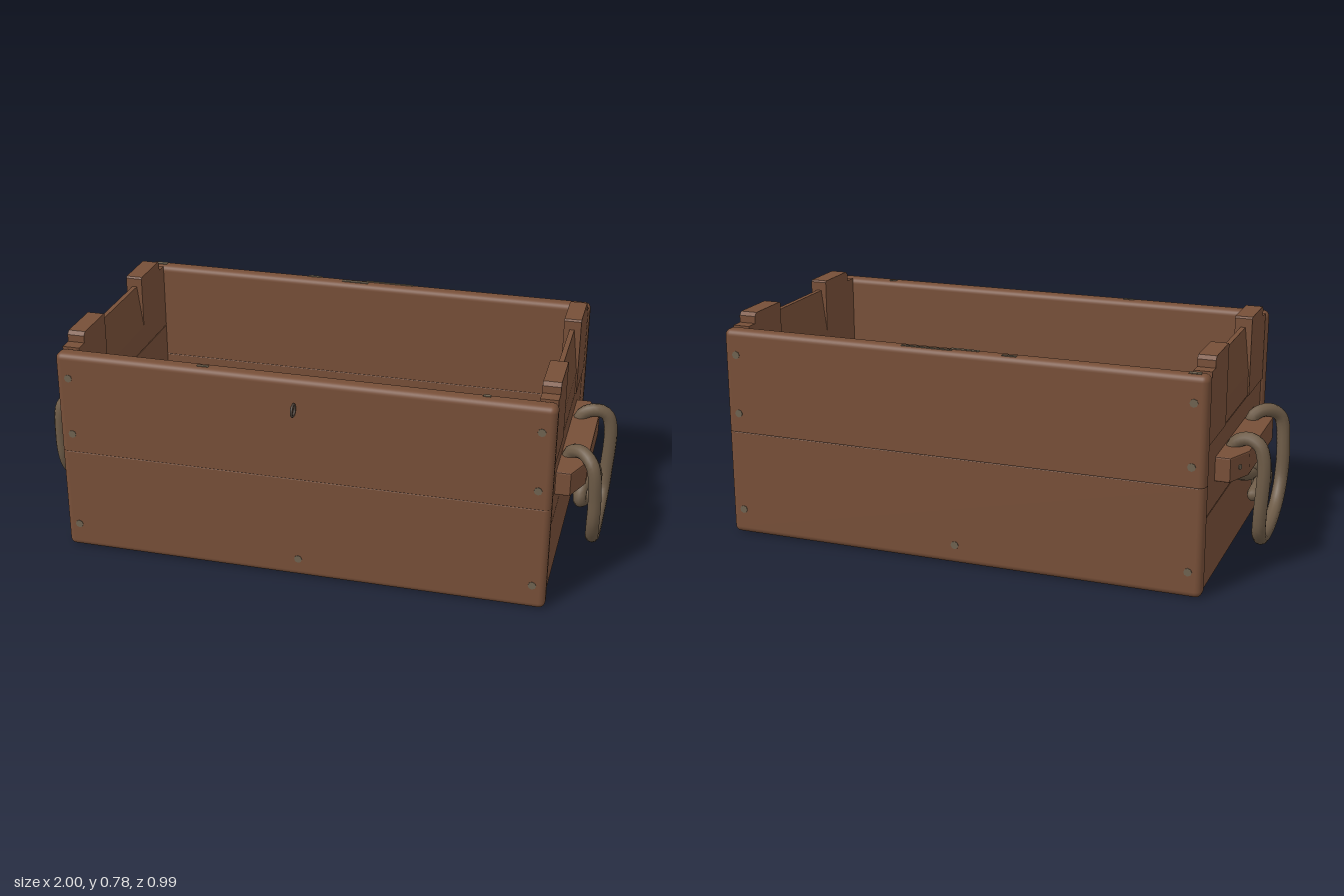
import * as THREE from 'three';
import { RoundedBoxGeometry } from 'three/addons/geometries/RoundedBoxGeometry.js';

const wood = new THREE.MeshStandardMaterial({ name: 'brown wood', color: 0x774f38 });
const rope = new THREE.MeshStandardMaterial({ name: 'rope', color: 0x6d5b47 });
const worn = new THREE.MeshStandardMaterial({ name: 'worn grey', color: 0x6e6250 });
const iron = new THREE.MeshStandardMaterial({ name: 'iron', color: 0x4a4038 });

function add(parent, name, geometry, material) {
  const m = new THREE.Mesh(geometry, material);
  m.name = name;
  parent.add(m);
  return m;
}

// Box given by its limits
function box(x0, x1, y0, y1, z0, z1) {
  return new THREE.BoxGeometry(x1 - x0, y1 - y0, z1 - z0)
    .translate((x0 + x1) / 2, (y0 + y1) / 2, (z0 + z1) / 2);
}

// Long plank, rounded except where its seam end is cut flat
function plank(y0, y1, z0, z1, seamOnTop) {
  const r = 0.022;
  const lo = seamOnTop ? y0 : y0 - r, hi = seamOnTop ? y1 + r : y1;
  const g = new RoundedBoxGeometry(1.7, hi - lo, z1 - z0, 4, r);
  g.translate(0, (lo + hi) / 2, (z0 + z1) / 2);
  const p = g.attributes.position;
  for (let i = 0; i < p.count; i++) p.setY(i, THREE.MathUtils.clamp(p.getY(i), y0, y1));
  return g;
}

// Polygon in (z, y) given a thickness along x
function sideSlab(points, x0, x1) {
  const shape = new THREE.Shape(points.map(([z, y]) => new THREE.Vector2(z, y)));
  return new THREE.ExtrudeGeometry(shape, { depth: x1 - x0, bevelEnabled: false })
    .rotateY(-Math.PI / 2).translate(x1, 0, 0);
}

// Mirror across x, keeping faces outward
function mirrored(geometry) {
  const g = geometry.index ? geometry.toNonIndexed() : geometry.clone();
  g.scale(-1, 1, 1);
  for (const a of Object.values(g.attributes)) {
    const n = a.itemSize;
    for (let i = 0; i < a.count; i += 3) {
      for (let k = 0; k < n; k++) {
        const p = (i + 1) * n + k, q = (i + 2) * n + k, t = a.array[p];
        a.array[p] = a.array[q];
        a.array[q] = t;
      }
    }
  }
  return g;
}

function buildEndParts() {
  const parts = [];
  // Lower and middle boards
  parts.push(['lowerEndBoard', box(0.785, 0.84, 0.006, 0.251, -0.43, 0.389), wood]);
  parts.push(['middleEndBoard', box(0.785, 0.84, 0.254, 0.498, -0.43, 0.389), wood]);
  // Upper board with a raised lug at each end
  const c = 0.012;
  parts.push(['upperEndBoardFront', sideSlab([[0.157, 0.501], [0.389, 0.501], [0.389, 0.743],
    [0.343, 0.743], [0.343, 0.78 - c], [0.343 - c, 0.78], [0.157 + c / 2, 0.78], [0.157, 0.78 - c / 2]], 0.785, 0.845), wood]);
  parts.push(['upperEndBoardBack', sideSlab([[-0.43, 0.501], [-0.2, 0.501], [-0.2, 0.78 - c / 2],
    [-0.2 - c / 2, 0.78], [-0.385 + c, 0.78], [-0.385, 0.78 - c], [-0.385, 0.743], [-0.43, 0.743]], 0.785, 0.845), wood]);
  // Tapered grip between the lugs
  const taper = new THREE.Shape([[0.785, 0.501], [0.84, 0.501], [0.84, 0.585], [0.822, 0.743], [0.805, 0.743], [0.785, 0.585]]
    .map(([x, y]) => new THREE.Vector2(x, y)));
  parts.push(['upperEndBoardGrip', new THREE.ExtrudeGeometry(taper, { depth: 0.357, bevelEnabled: false }).translate(0, 0, -0.2), wood]);

  // Handle cleat with slanted ends
  const cleat = new THREE.Shape([[0.838, -0.313], [0.89, -0.313], [0.932, -0.215], [0.932, 0.172], [0.89, 0.272], [0.838, 0.272]]
    .map(([x, z]) => new THREE.Vector2(x, -z)));
  parts.push(['handleCleat', new THREE.ExtrudeGeometry(cleat, {
    depth: 0.073, bevelThickness: 0.006, bevelSize: 0.004, bevelOffset: -0.004, bevelSegments: 2,
  }).rotateX(-Math.PI / 2).translate(0, 0.348, 0), wood]);

  // Rope: free end, knot, over the cleat, hanging loop, back to the knot
  const path = new THREE.CatmullRomCurve3([
    [0.93, 0.237, -0.105], [0.937, 0.262, -0.05], [0.925, 0.284, 0.01], [0.91, 0.27, 0.06],
    [0.908, 0.232, 0.078], [0.915, 0.212, 0.045], [0.94, 0.235, 0.005], [0.95, 0.28, -0.015],
    [0.935, 0.32, -0.022], [0.9, 0.315, -0.04], [0.882, 0.295, 0], [0.888, 0.302, 0.07],
    [0.872, 0.33, 0.135], [0.862, 0.39, 0.135], [0.872, 0.44, 0.135], [0.915, 0.455, 0.165],
    [0.953, 0.425, 0.197], [0.968, 0.3, 0.198], [0.967, 0.2, 0.185], [0.964, 0.132, 0.14],
    [0.962, 0.09, 0.06], [0.962, 0.076, -0.04], [0.963, 0.09, -0.12], [0.967, 0.135, -0.178],
    [0.971, 0.2, -0.195], [0.976, 0.39, -0.195], [0.958, 0.44, -0.19], [0.918, 0.456, -0.18],
    [0.873, 0.435, -0.175], [0.862, 0.37, -0.172], [0.88, 0.325, -0.145], [0.905, 0.297, -0.07],
    [0.9, 0.285, 0.02],
  ].map((p) => new THREE.Vector3(...p)));
  parts.push(['ropeHandle', new THREE.TubeGeometry(path, 150, 0.0235, 10), rope]);
  for (const i of [0, 1]) {
    const cap = new THREE.SphereGeometry(0.0235, 10, 6);
    const p = path.getPoint(i);
    parts.push(['ropeEnd', cap.translate(p.x, p.y, p.z), rope]);
  }
  // Nail on the cleat's slanted end
  parts.push(['cleatNail', new THREE.CylinderGeometry(0.009, 0.009, 0.006, 8)
    .rotateZ(-Math.PI / 2).rotateY(0.405 * Math.PI / 2 / 1.57).translate(0.911, 0.385, -0.264), worn]);
  return parts;
}

export function createModel() {
  const model = new THREE.Group();
  model.name = 'woodenCrate';

  // Front and back walls, two planks each
  for (const [label, z0, z1] of [['front', 0.39, 0.452], ['back', -0.492, -0.432]]) {
    add(model, label + 'LowerPlank', plank(0, 0.374, z0, z1, true), wood);
    add(model, label + 'UpperPlank', plank(0.377, 0.743, z0, z1, false), wood);
  }

  // Floor
  add(model, 'floor', box(-0.786, 0.786, 0.025, 0.06, -0.433, 0.379), wood);

  // Both ends with rope handles
  const left = new THREE.Group(), right = new THREE.Group();
  left.name = 'leftEnd';
  right.name = 'rightEnd';
  model.add(left, right);
  for (const [name, geometry, material] of buildEndParts()) {
    add(left, name, geometry, material);
    add(right, name, mirrored(geometry), material);
  }

  // Nail heads on front and back
  const nail = new THREE.CylinderGeometry(0.014, 0.014, 0.006, 8).rotateX(Math.PI / 2);
  const spots = [[0, 0.068]];
  for (const s of [-1, 1]) for (const y of [0.09, 0.445, 0.655]) spots.push([s * 0.805, y]);
  for (const [x, y] of spots) {
    for (const z of [0.451, -0.491]) add(model, 'nailHead', nail, worn).position.set(x, y, z);
  }

  // Worn patches along the rims
  for (const [x, z, w, d] of [[-0.19, -0.474, 0.05, 0.012], [-0.03, -0.457, 0.1, 0.014],
    [0.1, -0.472, 0.18, 0.01], [-0.8, -0.462, 0.04, 0.02], [-0.33, 0.423, 0.04, 0.012], [0.62, 0.412, 0.025, 0.014]]) {
    add(model, 'wornPatch', new THREE.BoxGeometry(w, 0.003, d), worn).position.set(x, 0.7435, z);
  }

  // Iron eye on the front
  const eye = new THREE.TorusGeometry(0.02, 0.0045, 8, 20).rotateY(Math.PI / 2);
  add(model, 'latchEye', eye, iron).position.set(-0.006, 0.643, 0.473);
  return model;
}
